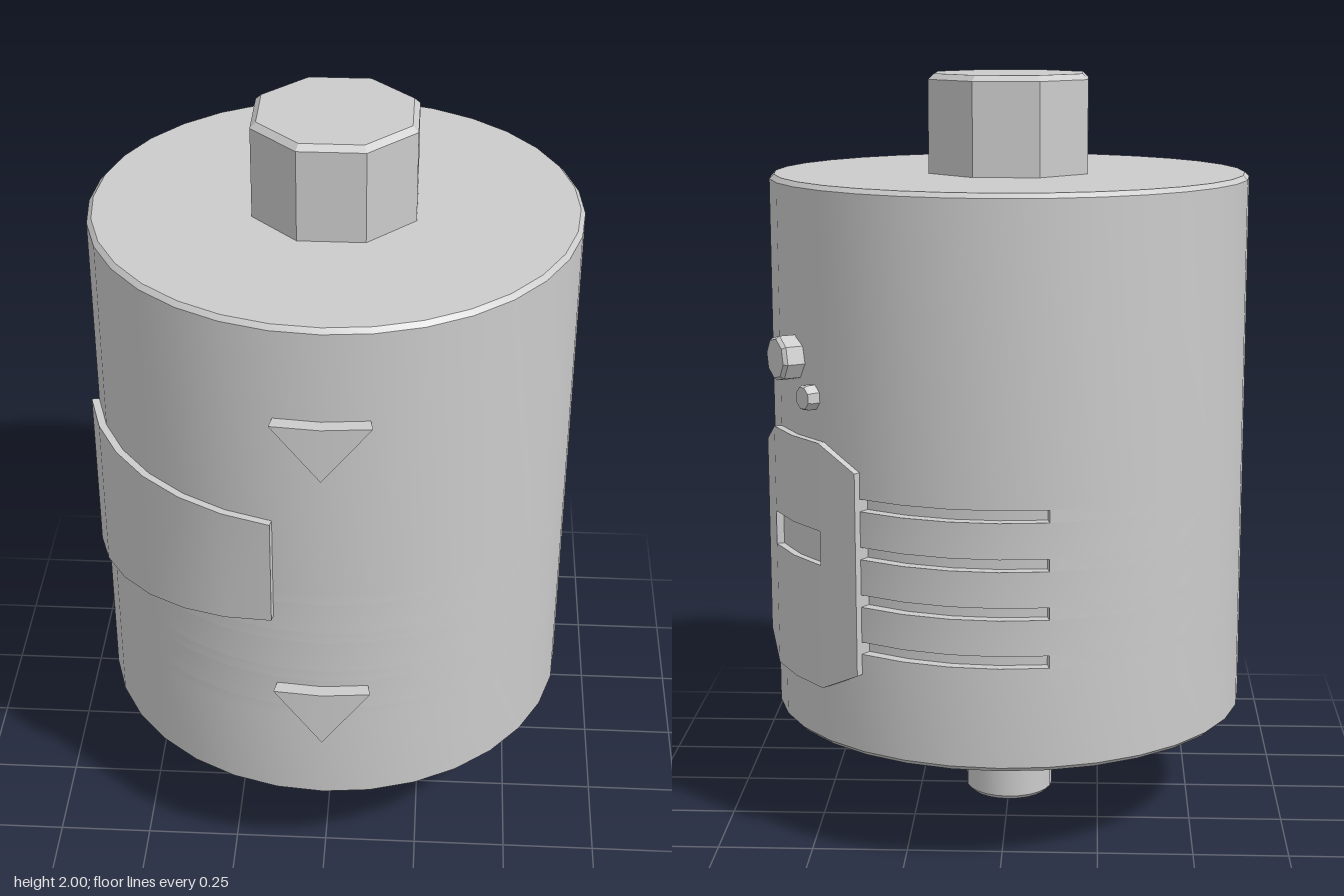
import * as THREE from 'three';
import { toCreasedNormals } from 'three/addons/utils/BufferGeometryUtils.js';

const R = 0.64;            // body radius
const STEP = 11.25;        // one of 32 body facets, in degrees
const material = new THREE.MeshStandardMaterial({ color: 0xcccccc });

// Angles run from +x towards -z, in degrees
const polar = (deg, r, y) => {
  const a = THREE.MathUtils.degToRad(deg);
  return new THREE.Vector3(r * Math.cos(a), y, -r * Math.sin(a));
};

// Curved slab lofted through columns of [angle, bottom, top]
function curvedSlab(columns, rIn, rOut) {
  const pos = [], index = [];
  columns.forEach(([deg, lo, hi], k) => {
    for (const [r, y] of [[rIn, lo], [rOut, lo], [rOut, hi], [rIn, hi]]) pos.push(...polar(deg, r, y).toArray());
    if (k === 0) return;
    for (let i = 0; i < 4; i++) {
      const j = (i + 1) % 4, p = 4 * (k - 1), q = 4 * k;
      index.push(p + i, q + i, q + j, p + i, q + j, p + j);
    }
  });
  const e = pos.length / 3 - 4;
  index.push(0, 1, 2, 0, 2, 3, e, e + 2, e + 1, e, e + 3, e + 2);
  const g = new THREE.BufferGeometry();
  g.setAttribute('position', new THREE.Float32BufferAttribute(pos, 3));
  g.setIndex(index);
  return toCreasedNormals(g, 0.4);
}

// Columns at every body facet between two angles, heights blended linearly
function span(from, to, [lo0, hi0], [lo1, hi1] = [lo0, hi0]) {
  const n = Math.round((to - from) / STEP);
  return Array.from({ length: n + 1 }, (_, i) => {
    const t = i / n;
    return [from + i * STEP, lo0 + (lo1 - lo0) * t, hi0 + (hi1 - hi0) * t];
  });
}

function turned(profile, sides, start = 0) {
  const g = new THREE.LatheGeometry(profile.map(([r, y]) => new THREE.Vector2(r, y)), sides, start);
  return toCreasedNormals(g, 0.4);
}

export function createModel() {
  const model = new THREE.Group();
  model.name = 'canister';
  const add = (name, geometry, parent = model) => {
    const mesh = new THREE.Mesh(geometry, material);
    mesh.name = name;
    parent.add(mesh);
    return mesh;
  };
  const group = (name) => {
    const g = new THREE.Group();
    g.name = name;
    model.add(g);
    return g;
  };

  // Body: solid ends, with a grooved zone between them
  const slots = [0.57, 0.695, 0.82, 0.945], half = 0.016, floor = 0.61;
  const low = slots[0] - half, high = slots[3] + half;
  const body = group('body');
  add('bodyLower', turned([[0, 0.28], [0.628, 0.28], [R, 0.292], [R, low], [0.58, low]], 32), body);
  add('bodyUpper', turned([[0.58, high], [R, high], [R, 1.728], [0.628, 1.74], [0, 1.74]], 32), body);
  const slotStart = 5 * STEP, slotEnd = 9 * STEP;
  add('grooveFloor', curvedSlab(span(slotStart - STEP, slotEnd + STEP, [low, high]), 0.58, floor), body);
  slots.forEach((y, i) => {
    add('grooveLevelWall', curvedSlab(span(slotEnd, slotStart + 360, [y - half, y + half]), 0.58, R), body);
    if (i < 3) add('grooveRidge', curvedSlab(span(0, 360, [y + half, slots[i + 1] - half]), 0.58, R), body);
  });

  // Eight-sided cap and round shaft
  const c = 1 / Math.cos(Math.PI / 8);
  add('topCap', turned([[0.21 * c, 1.73], [0.21 * c, 1.985], [0.195 * c, 2], [0, 2]], 8, Math.PI / 8));
  add('bottomShaft', turned([[0, 0], [0.108, 0], [0.12, 0.012], [0.12, 0.29]], 24));

  // Side panel with clipped corners and a recessed handle
  const panel = group('sidePanel');
  const ends = [0.5, 1.03], full = [0.44, 1.09];
  const pIn = 0.62, pOut = 0.66;
  add('panelFrontEdge', curvedSlab(span(STEP, 2 * STEP, ends, full), pIn, pOut), panel);
  add('panelBackEdge', curvedSlab(span(4 * STEP, 5 * STEP, full, ends), pIn, pOut), panel);
  add('panelBelowHandle', curvedSlab(span(2 * STEP, 4 * STEP, [0.44, 0.77]), pIn, pOut), panel);
  add('panelAboveHandle', curvedSlab(span(2 * STEP, 4 * STEP, [0.86, 1.09]), pIn, pOut), panel);

  // Tapered plate wrapped round the front corner
  add('wrapPlate', curvedSlab(span(17 * STEP, 23 * STEP, [0.74, 1.2], [0.88, 1.18]), 0.62, 0.66));

  // Raised triangular markers on the front
  for (const [tip, top] of [[1.335, 1.485], [0.5, 0.66]]) {
    add('triangleMarker', curvedSlab([[259.3, top, top], [270, tip, top], [280.7, top, top]], 0.62, 0.677));
  }

  // Eight-sided buttons above the panel
  for (const [name, deg, y, r, reach] of [['largeButton', 32, 1.29, 0.06, 0.692], ['smallButton', 40.5, 1.2, 0.034, 0.67]]) {
    const g = turned([[r, 0], [r, reach - 0.61], [r * 0.87, reach - 0.6], [0, reach - 0.6]], 8, Math.PI / 8);
    const button = add(name, g);
    button.position.copy(polar(deg, 0.6, y));
    button.quaternion.setFromUnitVectors(new THREE.Vector3(0, 1, 0), polar(deg, 1, 0));
  }

  // Centre the whole depth, markers included
  model.children.forEach((part) => { part.position.z -= 0.02; });
  return model;
}
